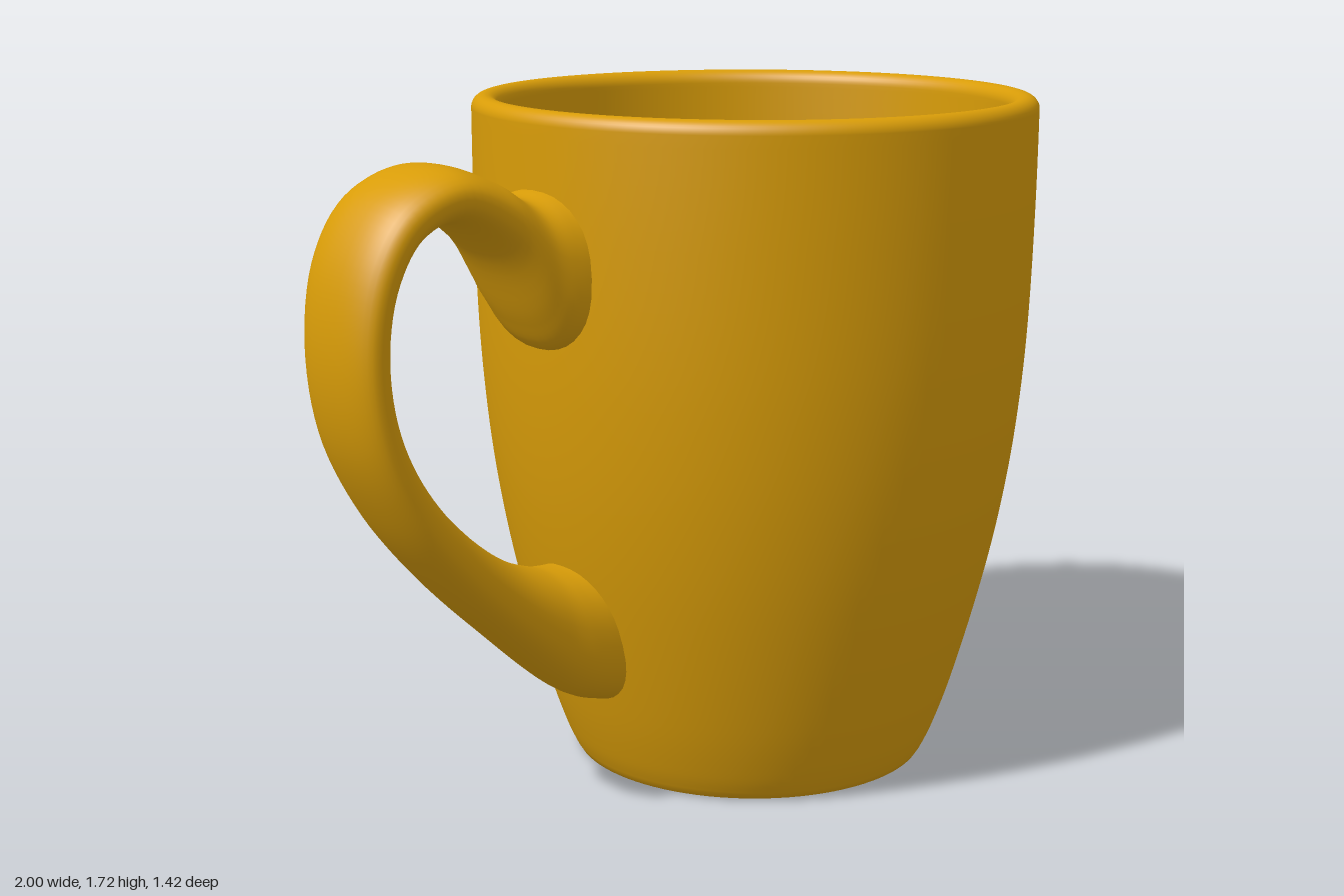
import * as THREE from 'three';

const CUP_X = 0.292;
const v2 = (p) => new THREE.Vector2(p[0], p[1]);
const spline = (pts, n) => new THREE.SplineCurve(pts.map(v2)).getPoints(n);

// Round points from angle a to b around a centre
function arc(cx, cy, r, a, b, n = 8) {
  return Array.from({ length: n + 1 }, (_, i) => {
    const t = a + (b - a) * i / n;
    return new THREE.Vector2(cx + r * Math.cos(t), cy + r * Math.sin(t));
  });
}

// Hollow cup: recessed base, foot ring, curved wall, rounded lip, inside and floor
function cupGeometry() {
  const H = Math.PI / 2;
  const outer = spline([[0.465, 0.02], [0.49, 0.075], [0.533, 0.2], [0.588, 0.4], [0.634, 0.6],
    [0.668, 0.8], [0.69, 1], [0.702, 1.2], [0.708, 1.45], [0.709, 1.683]], 48);
  const inner = spline([[0.64, 1.67], [0.638, 1.45], [0.632, 1.2], [0.62, 1], [0.599, 0.8],
    [0.566, 0.6], [0.523, 0.4], [0.472, 0.2], [0.445, 0.135]], 40);
  const profile = [
    v2([0, 0.03]), v2([0.37, 0.03]), v2([0.371, 0.03]), v2([0.385, 0.02]), v2([0.397, 0.006]),
    v2([0.41, 0]), v2([0.44, 0]), v2([0.456, 0.006]),
    ...outer,
    ...arc(0.677, 1.683, 0.032, 0.15, H),
    ...arc(0.674, 1.681, 0.034, H, Math.PI),
    ...inner,
    v2([0.43, 0.115]), v2([0.416, 0.101]), v2([0.415, 0.1]), v2([0.414, 0.1]), v2([0, 0.1]),
  ];
  return new THREE.LatheGeometry(profile, 96).translate(CUP_X, 0, 0);
}

// Handle: rounded sections strung between an outer and an inner edge curve
function handleGeometry() {
  const edge = (pts) => new THREE.CatmullRomCurve3(pts.map(([x, y]) => new THREE.Vector3(x, y, 0)));
  const outer = edge([[-0.37, 1.54], [-0.42, 1.53], [-0.48, 1.522], [-0.58, 1.575], [-0.72, 1.617],
    [-0.87, 1.56], [-0.962, 1.43], [-1, 1.22], [-0.97, 1], [-0.87, 0.8], [-0.72, 0.615],
    [-0.55, 0.45], [-0.4, 0.315], [-0.33, 0.268], [-0.225, 0.235]]);
  const inner = edge([[-0.37, 1.14], [-0.42, 1.16], [-0.47, 1.23], [-0.57, 1.4], [-0.71, 1.485],
    [-0.81, 1.45], [-0.87, 1.35], [-0.89, 1.2], [-0.86, 1.03], [-0.78, 0.88], [-0.66, 0.75],
    [-0.53, 0.655], [-0.42, 0.61], [-0.37, 0.602], [-0.305, 0.6]]);
  const widths = edge([0.185, 0.178, 0.168, 0.16, 0.157, 0.153, 0.147, 0.14, 0.137, 0.135,
    0.133, 0.133, 0.14, 0.148, 0.158].map((w, i) => [i, w]));
  const rings = 90, sides = 36, pos = [], idx = [];
  const round = (v) => Math.sign(v) * Math.abs(v) ** 0.85;
  for (let i = 0; i <= rings; i++) {
    const t = i / rings, a = outer.getPoint(t), b = inner.getPoint(t), w = widths.getPoint(t).y;
    for (let j = 0; j < sides; j++) {
      const q = j / sides * Math.PI * 2;
      const p = a.clone().lerp(b, (1 - round(Math.cos(q))) / 2);
      pos.push(p.x, p.y, w * round(Math.sin(q)));
    }
  }
  for (let i = 0; i < rings; i++) for (let j = 0; j < sides; j++) {
    const a = i * sides + j, b = i * sides + (j + 1) % sides, c = a + sides, d = b + sides;
    idx.push(a, c, b, b, c, d);
  }
  const g = new THREE.BufferGeometry();
  g.setAttribute('position', new THREE.Float32BufferAttribute(pos, 3));
  g.setIndex(idx);
  g.computeVertexNormals();
  return g;
}

export function createModel() {
  const glaze = new THREE.MeshStandardMaterial({ color: 0xd89c08 });
  glaze.name = 'mustard glaze';
  const model = new THREE.Group();
  model.name = 'mug';
  const add = (name, geometry) => {
    const mesh = new THREE.Mesh(geometry, glaze);
    mesh.name = name;
    model.add(mesh);
  };
  add('cup', cupGeometry());
  add('handle', handleGeometry());
  return model;
}
